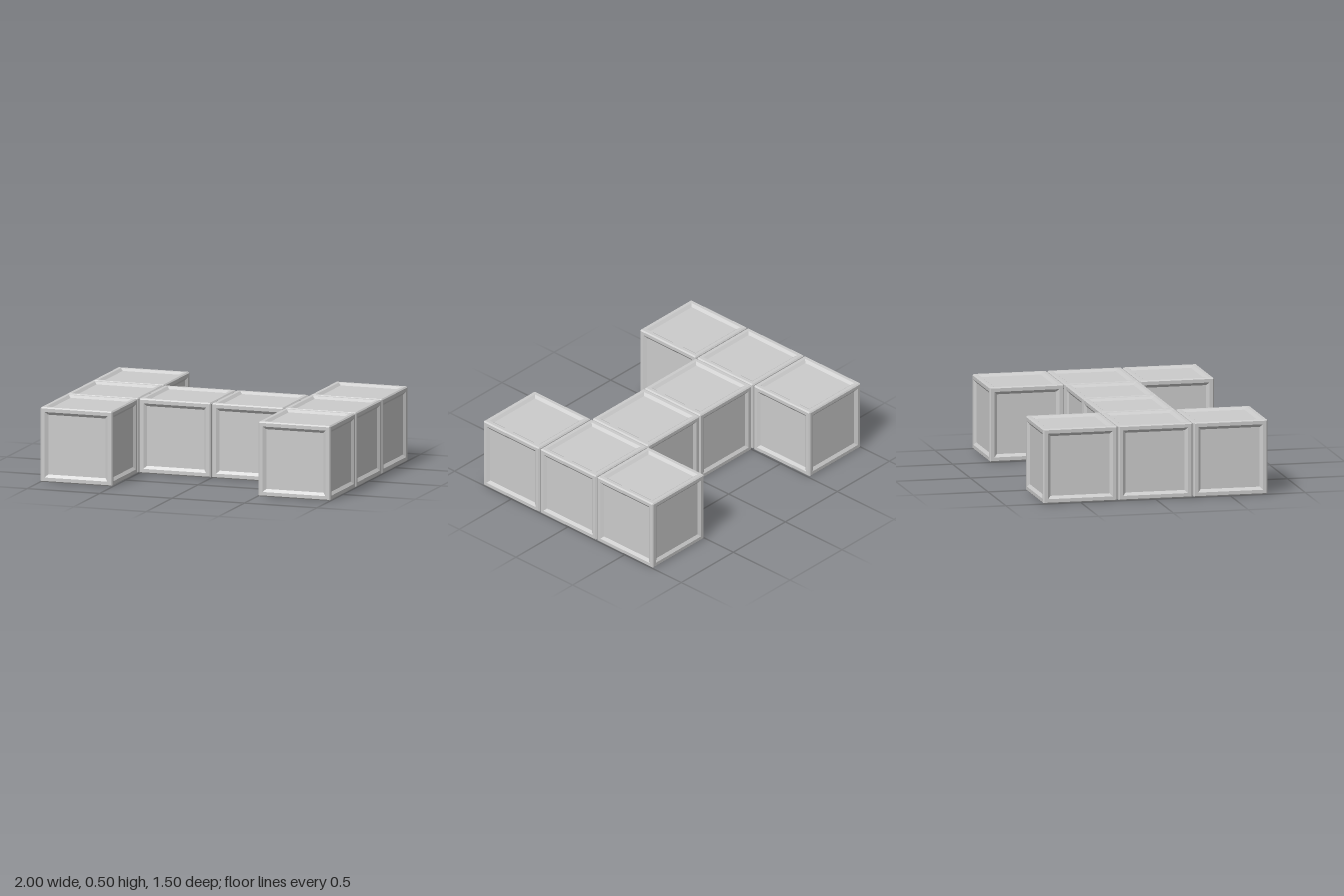
import * as THREE from 'three';
import { mergeGeometries } from 'three/addons/utils/BufferGeometryUtils.js';

const SIZE = 0.495;   // edge length of one block
const PITCH = 0.5017; // spacing between block centres
const BEVEL = 0.008;

// One side of a block: chamfered rim, flat frame, sloped step, recessed panel.
// A four-sided lathe turns the profile into nested squares.
function sideGeometry() {
  const h = SIZE / 2;
  const profile = [
    [h - BEVEL / 2, h - BEVEL / 2],
    [h - BEVEL, h],
    [h - 0.031, h],
    [h - 0.05, h - 0.015],
    [0, h - 0.015],
  ].map(([half, y]) => new THREE.Vector2(half * Math.SQRT2, y));
  return new THREE.LatheGeometry(profile, 4).rotateY(Math.PI / 4);
}

// Six identical sides close the block
function blockGeometry() {
  const sides = [];
  for (let i = 0; i < 4; i++) sides.push(sideGeometry().rotateX((i * Math.PI) / 2));
  for (const s of [-1, 1]) sides.push(sideGeometry().rotateZ((s * Math.PI) / 2));
  return mergeGeometries(sides);
}

export function createModel() {
  const model = new THREE.Group();
  model.name = 'blockPiece';
  const material = new THREE.MeshStandardMaterial({ color: 0xcccccc, flatShading: true });
  const geometry = blockGeometry();

  const addBlock = (name, x, z) => {
    const block = new THREE.Mesh(geometry, material);
    block.name = name;
    block.position.set(x * PITCH, SIZE / 2, z * PITCH);
    model.add(block);
  };

  for (const [side, s] of [['left', 1], ['right', -1]]) {
    // Crossbar block
    addBlock(`${side}BarBlock`, s * 0.5, 0);
    // Row of three blocks at the end
    ['Back', 'Middle', 'Front'].forEach((row, i) => addBlock(`${side}${row}Block`, s * 1.5, i - 1));
  }
  return model;
}
